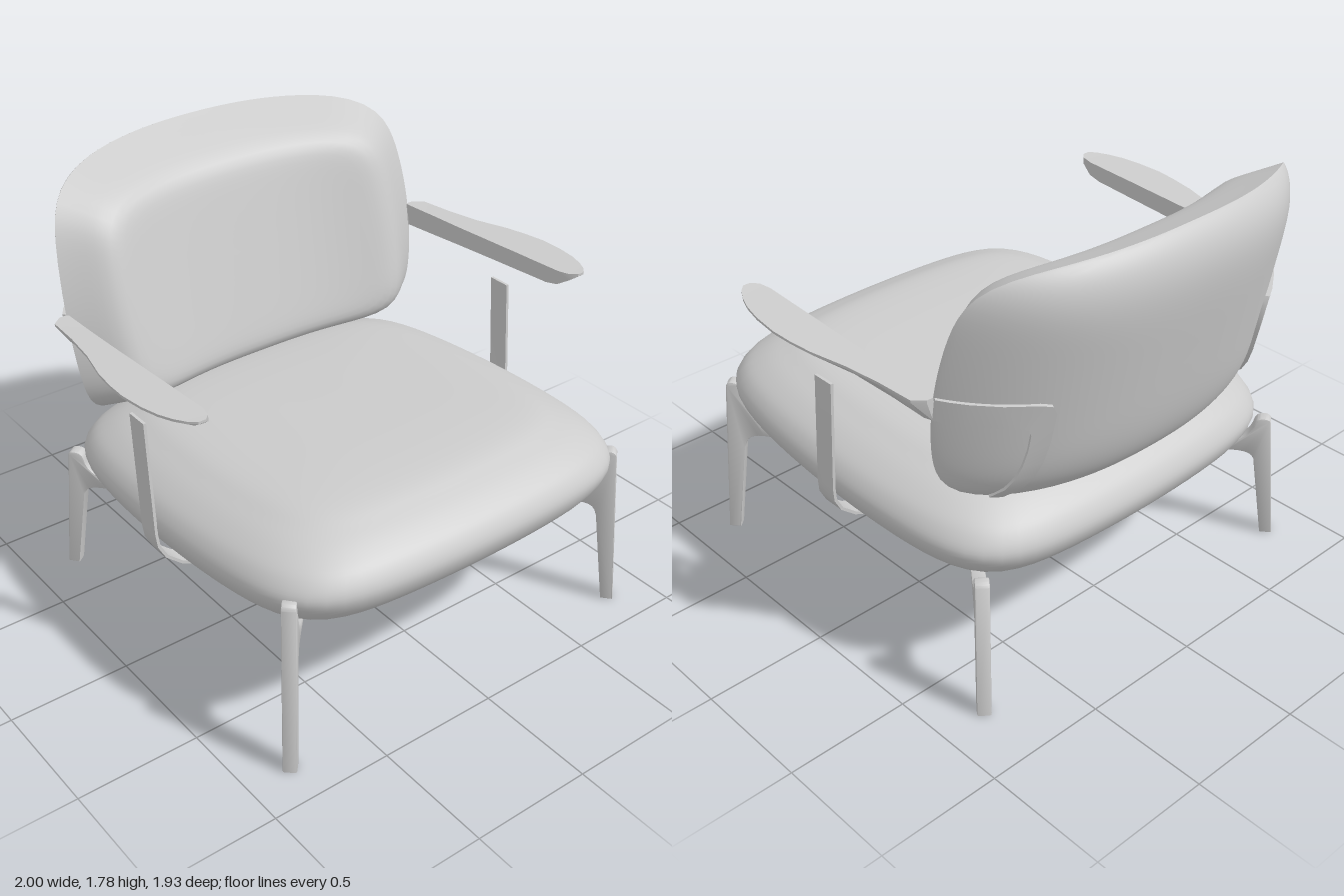
import * as THREE from 'three';
import { toCreasedNormals } from 'three/addons/utils/BufferGeometryUtils.js';

const grey = new THREE.MeshStandardMaterial({ color: 0xcccccc });
grey.name = 'warm grey';

// Turn a closed geometry the right way out, then give it creased normals
function finish(geo, crease = 0.6) {
  const g = geo.index ? geo.toNonIndexed() : geo;
  g.deleteAttribute('normal');
  g.deleteAttribute('uv');
  const p = g.attributes.position;
  const a = new THREE.Vector3(), b = new THREE.Vector3(), c = new THREE.Vector3();
  let volume = 0;
  for (let i = 0; i < p.count; i += 3) {
    a.fromBufferAttribute(p, i);
    b.fromBufferAttribute(p, i + 1);
    c.fromBufferAttribute(p, i + 2);
    volume += a.dot(b.cross(c));
  }
  if (volume < 0) {
    for (let i = 0; i < p.count; i += 3) {
      a.fromBufferAttribute(p, i);
      c.fromBufferAttribute(p, i + 2);
      p.setXYZ(i, c.x, c.y, c.z);
      p.setXYZ(i + 2, a.x, a.y, a.z);
    }
  }
  return toCreasedNormals(g, crease);
}

// Skin a list of closed rings of [x, y, z] points, capping both ends
function loft(rings) {
  const n = rings[0].length;
  const cap = (r) => {
    const m = [0, 1, 2].map((k) => r.reduce((t, q) => t + q[k], 0) / n);
    return r.map(() => m);
  };
  const all = [cap(rings[0]), ...rings, cap(rings[rings.length - 1])];
  const index = [];
  for (let i = 0; i < all.length - 1; i++) {
    for (let j = 0; j < n; j++) {
      const a = i * n + j, b = i * n + ((j + 1) % n);
      index.push(a, a + n, b, b, a + n, b + n);
    }
  }
  const g = new THREE.BufferGeometry();
  g.setAttribute('position', new THREE.Float32BufferAttribute(all.flat(2), 3));
  g.setIndex(index);
  return g;
}

// Point on a rounded-square outline of half-size 1
function squircle(t, n) {
  const c = Math.cos(t), s = Math.sin(t);
  const r = Math.pow(Math.abs(c) ** n + Math.abs(s) ** n, -1 / n);
  return [c * r, s * r];
}
const turn = (count, fn) => Array.from({ length: count }, (_, i) => fn((i / count) * Math.PI * 2));

// Seat cushion: inset and height of each ring, bowed sides, tilted up to the front
function seatGeometry() {
  const profile = new THREE.SplineCurve([
    [0.8, -0.24], [0.5, -0.24], [0.3, -0.235], [0.2, -0.21], [0.1, -0.15], [0.03, -0.08], [0, 0],
    [0.03, 0.07], [0.09, 0.122], [0.17, 0.165], [0.28, 0.203], [0.5, 0.22], [0.8, 0.225],
  ].map(([d, y]) => new THREE.Vector2(d, y)));
  return loft(profile.getPoints(60).map(({ x: d, y }) => turn(112, (t) => {
    const [u, v] = squircle(t, 7);
    const z = 0.09 + v * (0.875 - d) * (1 - 0.065 * u * u);
    return [u * (0.875 - d) * (1 - 0.085 * v * v), 0.66 + 0.06 * z + y, z];
  })));
}

// Backrest: a curved, leaning sheet with a plump front and a shallow rear shell
const BW = 0.84, BH = 0.51, BY = 1.27, BN = 8;
const sheetZ = (x, y) => -0.9 + 0.2 * (1.78 - y) + 0.41 * Math.abs(x) ** 2.5;
const bowX = (v) => BW * (1 - 0.07 * v * v);
const bowY = (u) => BH * (1 - 0.085 * u * u);
function frontBulge(s, v) {
  const t = (1 - s) / 0.23;
  return 0.27 * (1 - 0.15 * v) * t / (1 + t ** 6) ** (1 / 6);
}
const rearBulge = (s) => -0.115 * Math.max(0, 1 - s ** 5) ** 0.85;
function backGeometry() {
  const rings = [];
  const steps = 26;
  for (let i = 1; i < steps * 2; i++) {
    const s = Math.sin((i / steps) * Math.PI / 2);
    rings.push(turn(112, (t) => {
      const [u, v] = squircle(t, BN).map((k) => k * s);
      const x = u * bowX(v), y = BY + v * bowY(u);
      return [x, y, sheetZ(x, y) + (i < steps ? frontBulge(s, v) : rearBulge(s))];
    }));
  }
  return loft(rings);
}

// Depth of the rear shell at a given x and y
function shellZ(x, y) {
  let u = x / BW, v = (y - BY) / BH;
  for (let i = 0; i < 4; i++) {
    u = x / bowX(v);
    v = (y - BY) / bowY(u);
  }
  return sheetZ(x, y) + rearBulge((Math.abs(u) ** BN + Math.abs(v) ** BN) ** (1 / BN));
}

// Strap on the rear shell: [outer x, lower y, inner x, upper y]
function strapGeometry() {
  const path = [
    [0.838, 1.187, 0.838, 1.277], [0.81, 1.184, 0.81, 1.275], [0.77, 1.18, 0.77, 1.272],
    [0.7, 1.173, 0.69, 1.267], [0.635, 1.167, 0.59, 1.261], [0.612, 1.157, 0.552, 1.25],
    [0.602, 1.13, 0.536, 1.215], [0.602, 1.06, 0.538, 1.09], [0.608, 0.99, 0.547, 1.0],
    [0.617, 0.93, 0.56, 0.93], [0.63, 0.87, 0.578, 0.87], [0.645, 0.815, 0.6, 0.803],
  ];
  return loft(path.map(([x1, y1, x2, y2]) => {
    const at = (x, y, out) => [x + out * 0.6, y, shellZ(x, y) - out];
    return [at(x1, y1, -0.012), at(x1, y1, 0.014), at(x2, y2, 0.014), at(x2, y2, -0.012)];
  }));
}

// Armrest paddle: [z, inner x, outer x, top y, bottom y]
function armGeometry() {
  const rows = [
    [-0.535, 0.832, 0.868, 1.277, 1.186], [-0.5, 0.832, 0.908, 1.278, 1.188], [-0.35, 0.834, 0.92, 1.284, 1.198],
    [-0.2, 0.834, 0.942, 1.29, 1.21], [-0.05, 0.834, 0.98, 1.298, 1.221], [0.05, 0.834, 0.994, 1.303, 1.228],
    [0.14, 0.834, 1, 1.308, 1.234], [0.25, 0.834, 0.991, 1.313, 1.242], [0.33, 0.834, 0.975, 1.317, 1.247],
    [0.39, 0.834, 0.953, 1.32, 1.262], [0.44, 0.845, 0.925, 1.323, 1.295], [0.465, 0.87, 0.9, 1.325, 1.315],
  ];
  return loft(rows.map(([z, xi, xo, top, bot]) => [
    [xi, top, z], [xo, top, z], [xo, top - 0.01, z],
    [xi + (xo - xi) * 0.3, bot, z], [xi, bot, z],
  ]));
}

// Flat bar rising beside the seat and bending under it
function postGeometry() {
  const path = [[0.88, 1.113], [0.88, 0.64], [0.874, 0.585], [0.845, 0.53], [0.78, 0.475],
    [0.68, 0.43], [0.58, 0.41], [0.4, 0.405]];
  return loft(path.map(([x, y], i) => {
    const [px, py] = path[Math.max(0, i - 1)], [qx, qy] = path[Math.min(path.length - 1, i + 1)];
    const len = Math.hypot(qx - px, qy - py);
    const nx = ((qy - py) / len) * 0.006, ny = (-(qx - px) / len) * 0.006;
    const z = 0.07 - (y - 0.4) * 0.064;
    return [[x + nx, y + ny, z - 0.047], [x - nx, y - ny, z - 0.047],
      [x - nx, y - ny, z + 0.047], [x + nx, y + ny, z + 0.047]];
  }));
}

// Leg with curved bracket, cut from a flat plate set on the diagonal
function legGeometry(reach, fitY, foot, dir) {
  const s = new THREE.Shape();
  const L = -reach;
  s.moveTo(0.025, 0);
  s.lineTo(-0.022, fitY(0.7));
  s.quadraticCurveTo(-0.03, fitY(0.725), -0.055, fitY(0.72));
  s.quadraticCurveTo(-0.085, fitY(0.72), -0.092, fitY(0.65));
  s.bezierCurveTo(-0.12, fitY(0.5), L * 0.6, fitY(0.46), L, fitY(0.45));
  s.lineTo(L, fitY(0.43));
  s.bezierCurveTo(L * 0.5, fitY(0.43), -0.1, fitY(0.53), -0.078, fitY(0.41));
  s.lineTo(-0.025, 0);
  const g = new THREE.ExtrudeGeometry(s, {
    depth: 0.042, bevelEnabled: true, bevelSize: 0.006, bevelThickness: 0.006, bevelSegments: 2,
    bevelOffset: -0.006, curveSegments: 12,
  });
  g.translate(0, 0, -0.021);
  g.rotateY(Math.atan2(-dir[1], dir[0]));
  return g.translate(foot[0], 0, foot[1]);
}

function padGeometry(x, y, z) {
  return new THREE.CylinderGeometry(0.09, 0.085, 0.022, 32).rotateX(-0.06).translate(x, y, z);
}

export function createModel() {
  const model = new THREE.Group();
  model.name = 'armchair';
  const add = (name, geo, crease) => {
    const mesh = new THREE.Mesh(finish(geo, crease), grey);
    mesh.name = name;
    model.add(mesh);
  };
  const addPair = (name, geo) => {
    add(name + 'Left', geo.clone());
    add(name + 'Right', geo.clone().scale(-1, 1, 1));
  };

  add('seatCushion', seatGeometry(), 1);
  add('backrest', backGeometry(), 0.8);
  addPair('armrest', armGeometry());
  addPair('backStrap', strapGeometry());
  addPair('sidePost', postGeometry());

  // Front and rear legs with their mounting pads
  const rearY = (y) => 0.385 + (y - 0.44) * 0.643;
  addPair('frontLeg', legGeometry(0.47, (y) => y, [0.815, 0.835], [0.66, 0.75]));
  addPair('rearLeg', legGeometry(0.55, rearY, [0.805, -0.73], [0.62, -0.78]));
  addPair('frontPad', padGeometry(0.48, 0.44, 0.5));
  addPair('rearPad', padGeometry(0.47, 0.385, -0.27));
  return model;
}
